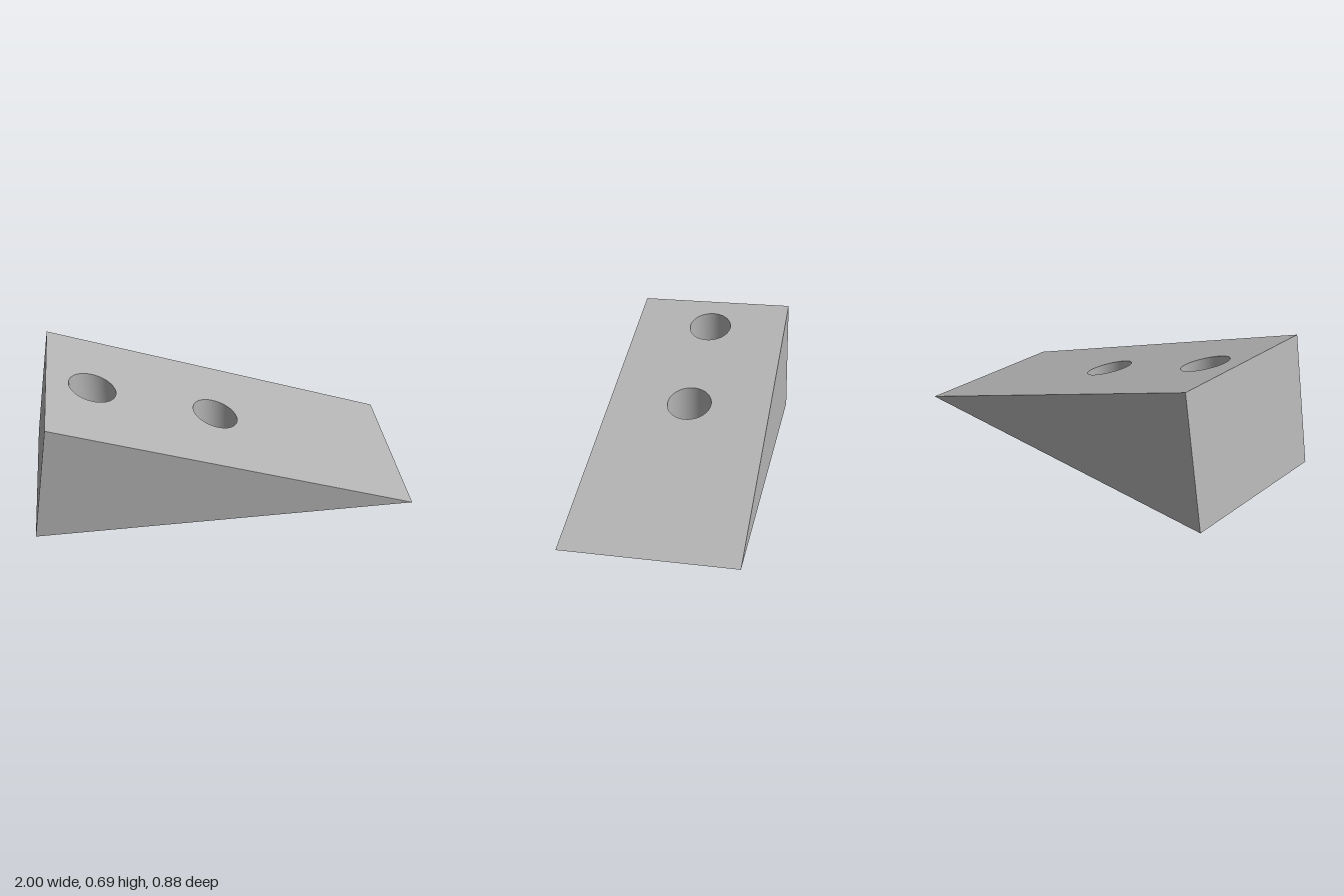
import * as THREE from 'three';
import { mergeGeometries } from 'three/addons/utils/BufferGeometryUtils.js';

const HEIGHT = 0.685, DEPTH = 0.875, APEX_X = -0.88;
const HOLES = [-0.65, -0.01]; // x positions of the counterbored holes
const BORE_R = 0.119, HOLE_R = 0.063, FLOOR_Y = 0.12;

const slopeY = (x) => HEIGHT * (1 - x) / (1 - APEX_X);

// Rectangle from x0 to x = 1, pierced by the holes
function piercedPlate(x0, radius) {
  const d = DEPTH / 2;
  const shape = new THREE.Shape([[x0, -d], [1, -d], [1, d], [x0, d]].map(([x, y]) => new THREE.Vector2(x, y)));
  for (const x of HOLES) shape.holes.push(new THREE.Path().absarc(x, 0, radius, 0, Math.PI * 2, true));
  return new THREE.ShapeGeometry(shape, 48);
}

// Move every vertex by a rule that edits it in place
function reshape(geometry, rule) {
  const p = geometry.attributes.position, v = new THREE.Vector3();
  for (let i = 0; i < p.count; i++) {
    rule(v.fromBufferAttribute(p, i));
    p.setXYZ(i, v.x, v.y, v.z);
  }
  return geometry;
}

// Triangular side; flip mirrors it for the back
function sideTriangle(flip) {
  const s = flip ? -1 : 1;
  const pts = [[-1, 0], [1, 0], [APEX_X, HEIGHT]].map(([x, y]) => new THREE.Vector2(s * x, y));
  const g = new THREE.ShapeGeometry(new THREE.Shape(pts)).translate(0, 0, DEPTH / 2);
  return flip ? g.rotateY(Math.PI) : g;
}

// Inside of one hole: wide bore, flat ledge, narrow through hole
function holeLining(x) {
  const profile = [[BORE_R, 1], [BORE_R, FLOOR_Y], [HOLE_R, FLOOR_Y], [HOLE_R, 0]].map(([r, y]) => new THREE.Vector2(r, y));
  const bands = [0, 1, 2].map((i) => new THREE.LatheGeometry(profile.slice(i, i + 2), 96));
  return reshape(mergeGeometries(bands).translate(x, 0, 0), (v) => {
    if (v.y > 0.9) v.y = slopeY(v.x); // trim to the ramp
  });
}

export function createModel() {
  const group = new THREE.Group();
  group.name = 'wedgeBlock';
  const grey = new THREE.MeshStandardMaterial({ color: 0xb4b4b4 });
  grey.name = 'grey';
  const add = (name, geometry) => {
    const mesh = new THREE.Mesh(geometry, grey);
    mesh.name = name;
    group.add(mesh);
  };

  // Sloping top
  const ramp = reshape(piercedPlate(APEX_X, BORE_R).rotateX(-Math.PI / 2), (v) => { v.y = slopeY(v.x); });
  ramp.computeVertexNormals();
  add('rampTop', ramp);

  // Flat underside
  add('base', piercedPlate(-1, HOLE_R).rotateX(Math.PI / 2));

  // Leaning tall end
  const end = new THREE.PlaneGeometry(DEPTH, 1).translate(0, 0.5, 0).rotateY(-Math.PI / 2);
  reshape(end, (v) => { v.x = -1 + (APEX_X + 1) * v.y; v.y *= HEIGHT; });
  end.computeVertexNormals();
  add('tallEnd', end);

  add('frontSide', sideTriangle(false));
  add('backSide', sideTriangle(true));
  HOLES.forEach((x, i) => add(i ? 'lowerHole' : 'upperHole', holeLining(x)));
  return group;
}
